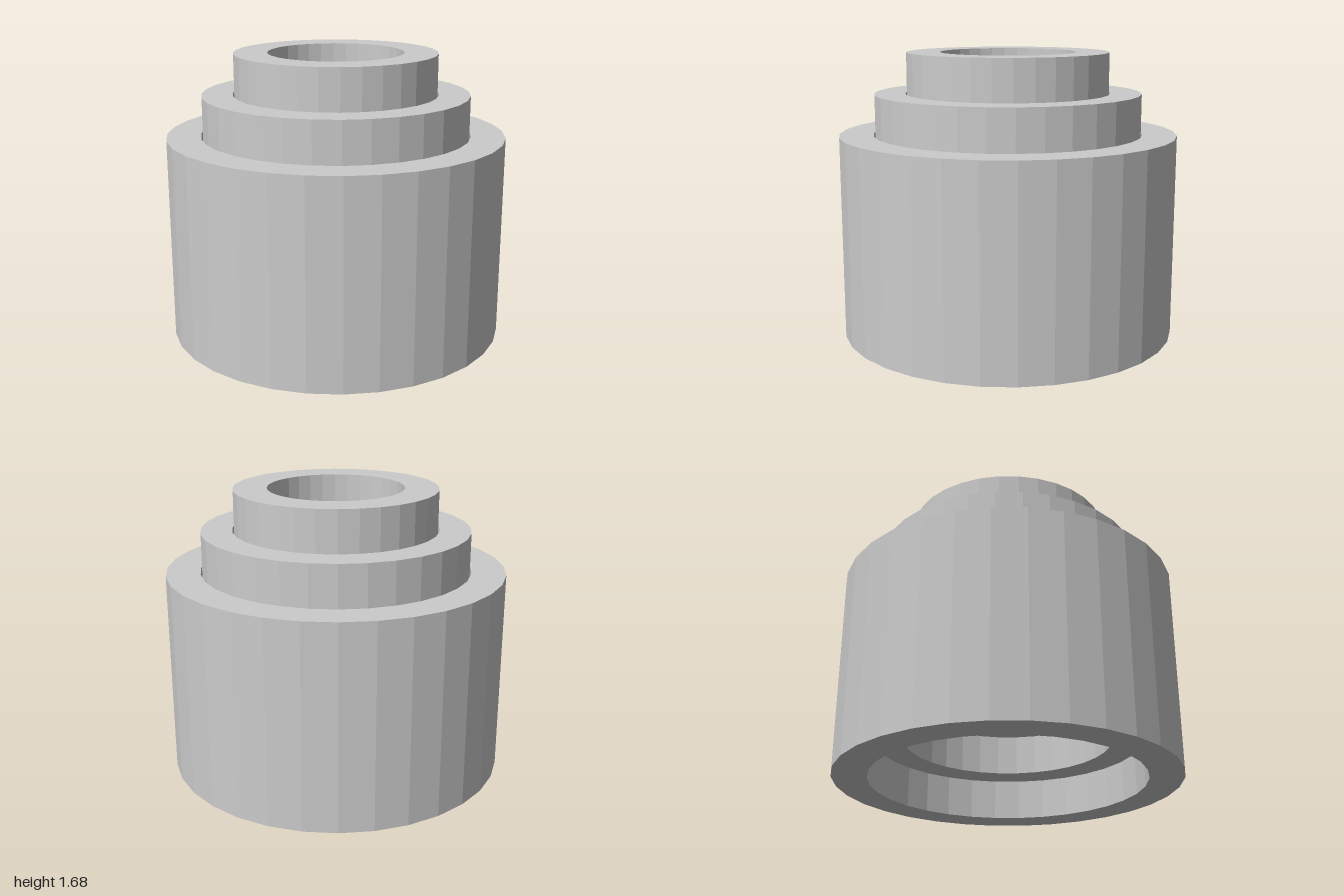
import * as THREE from 'three';

const material = new THREE.MeshStandardMaterial({ color: 0xcccccc, flatShading: true });
const HEIGHT = 1.2;

// Thick-walled tube: a closed rectangular section turned around the y axis
function tube(name, inner, outer, bottom) {
  const section = [
    [inner, 0], [outer, 0], [outer, HEIGHT], [inner, HEIGHT], [inner, 0],
  ].map(([r, y]) => new THREE.Vector2(r, y));
  const mesh = new THREE.Mesh(new THREE.LatheGeometry(section, 32), material);
  mesh.name = name;
  mesh.position.y = bottom;
  return mesh;
}

export function createModel() {
  const model = new THREE.Group();
  model.name = 'telescopingTubes';
  // Equal-length sleeves, each raised one step above the next larger one
  model.add(
    tube('outerSleeve', 0.8, 1, 0),
    tube('middleSleeve', 0.607, 0.79, 0.24),
    tube('innerSleeve', 0.4, 0.598, 0.48),
  );
  return model;
}
